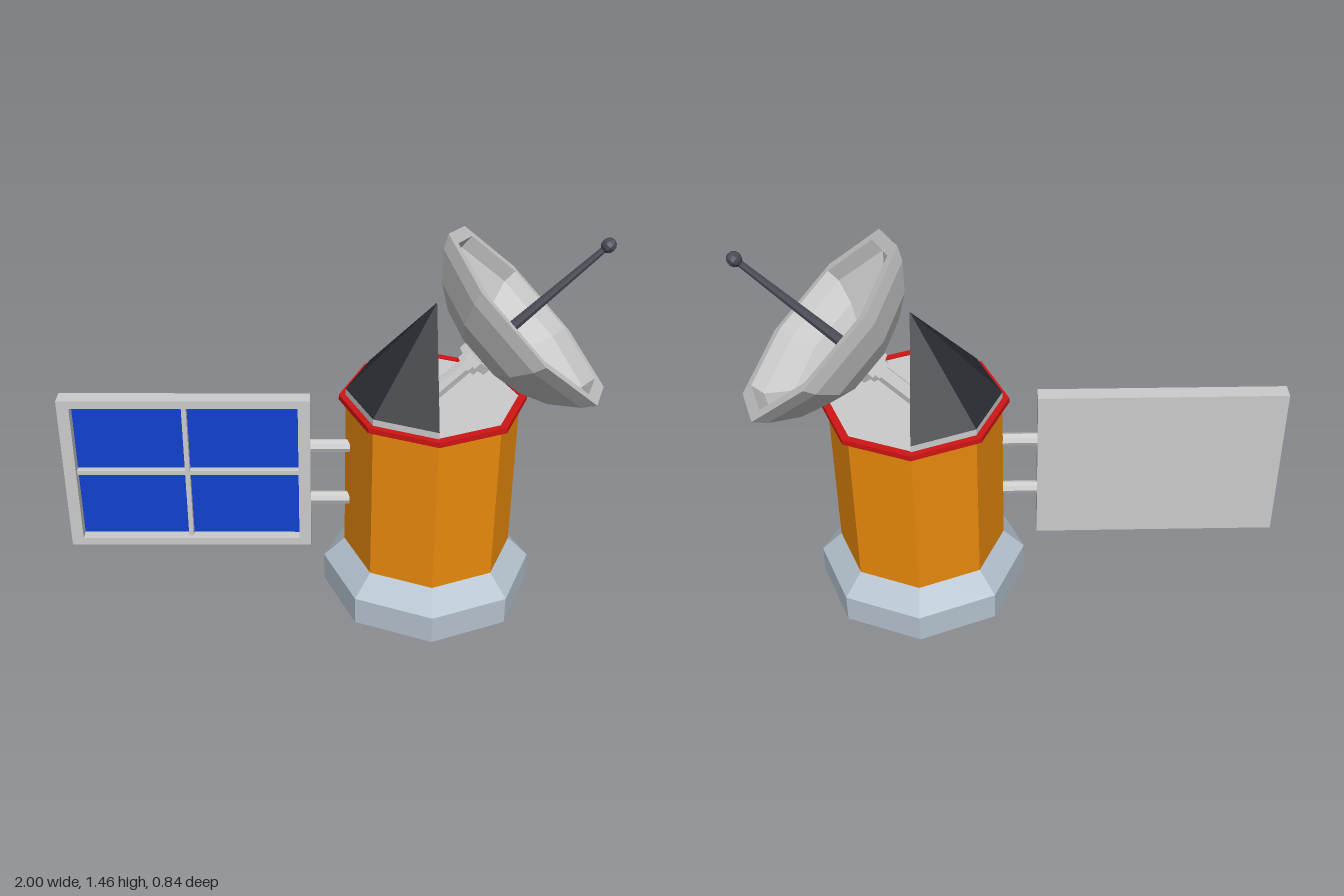
import * as THREE from 'three';

const mat = (color, side = THREE.FrontSide) =>
  new THREE.MeshStandardMaterial({ color, flatShading: true, side });
const GREY = mat(0xcccccc), STEEL = mat(0xb4c2ce), ORANGE = mat(0xe8890c), RED = mat(0xd01414),
  DARK = mat(0x2a2c32), BLUE = mat(0x1040d0), MAST = mat(0x4a4a56);

function add(parent, name, geometry, material, x = 0, y = 0, z = 0) {
  const mesh = new THREE.Mesh(geometry, material);
  mesh.name = name;
  mesh.position.set(x, y, z);
  parent.add(mesh);
  return mesh;
}

// Eight-sided turned part from [radius, height] pairs
const turned = (points, sides = 8) =>
  new THREE.LatheGeometry(points.map(([r, y]) => new THREE.Vector2(r, y)), sides);

function rectangle(target, x0, y0, x1, y1) {
  target.moveTo(x0, y0);
  target.lineTo(x1, y0);
  target.lineTo(x1, y1);
  target.lineTo(x0, y1);
  target.closePath();
  return target;
}

function createTower() {
  const tower = new THREE.Group();
  tower.name = 'tower';
  tower.position.x = 0.375;

  // Chamfered foot with a stepped recess underneath
  add(tower, 'base', turned([
    [0, 0.13], [0.15, 0.13], [0.15, 0.06], [0.23, 0.06], [0.23, 0.04],
    [0.3, 0.04], [0.3, 0], [0.4, 0], [0.4, 0.11], [0.32, 0.19], [0, 0.19],
  ]), STEEL);
  add(tower, 'body', turned([[0.32, 0.19], [0.32, 0.815]]), ORANGE);
  add(tower, 'rim', turned([
    [0.315, 0.81], [0.345, 0.81], [0.345, 0.83], [0.315, 0.83], [0.315, 0.81],
  ]), RED);
  add(tower, 'roofDeck', turned([[0.32, 0.82], [0.318, 0.826], [0, 0.826]]), GREY);

  // Half pyramid on the -x half of the deck
  const half = [4, 1, false, Math.PI, Math.PI];
  add(tower, 'roofPlinth', new THREE.CylinderGeometry(0.32, 0.32, 0.03, ...half), GREY, 0, 0.84);
  add(tower, 'halfRoof', new THREE.CylinderGeometry(0, 0.32, 0.345, ...half), DARK, 0, 1.0275);
  const wall = new THREE.Shape([
    [-0.32, 0.825], [0.32, 0.825], [0.32, 0.855], [0, 1.2], [-0.32, 0.855],
  ].map(([x, y]) => new THREE.Vector2(x, y)));
  add(tower, 'roofWall', new THREE.ShapeGeometry(wall), GREY).rotation.y = Math.PI / 2;
  return tower;
}

// Dish assembly is built along +y, then tipped towards +x
function createDish() {
  const dish = new THREE.Group();
  dish.name = 'dishAssembly';
  dish.position.set(0.375, 0.835, 0);
  dish.rotation.z = -Math.PI / 4;

  add(dish, 'strut', turned([
    [0, -0.03], [0.03, -0.03], [0.03, 0.165], [0.045, 0.165], [0.045, 0.195],
    [0.07, 0.195], [0.07, 0.225], [0.05, 0.225], [0.05, 0.25],
  ]), GREY);
  add(dish, 'reflector', turned([
    [0, 0.235], [0.09, 0.24], [0.209, 0.264], [0.304, 0.322], [0.39, 0.41], [0.42, 0.46],
    [0.37, 0.46], [0.365, 0.405], [0.28, 0.335], [0.17, 0.287], [0, 0.268],
  ]), GREY);
  add(dish, 'mast', turned([
    [0.04, 0.265], [0.04, 0.285], [0.03, 0.3], [0.022, 0.3], [0.012, 0.81],
  ]), MAST);
  add(dish, 'mastTip', new THREE.SphereGeometry(0.028, 8, 6), MAST, 0, 0.82);
  return dish;
}

function createSolarPanel() {
  const panel = new THREE.Group();
  panel.name = 'solarPanel';

  // Solid back plate, open frame and recessed cells
  const outline = rectangle(new THREE.Shape(), -1, 0.195, -0.075, 0.83);
  outline.holes.push(rectangle(new THREE.Path(), -0.955, 0.225, -0.12, 0.8));
  add(panel, 'frame', new THREE.ExtrudeGeometry(outline, { depth: 0.063, bevelEnabled: false }),
    GREY, 0, 0, -0.01);
  add(panel, 'backPlate', new THREE.BoxGeometry(0.835, 0.575, 0.01), GREY, -0.5375, 0.5125, -0.005);
  add(panel, 'cells', new THREE.BoxGeometry(0.835, 0.575, 0.01), BLUE, -0.5375, 0.5125, 0.005);
  add(panel, 'uprightBar', new THREE.BoxGeometry(0.018, 0.575, 0.03), GREY, -0.539, 0.5125, 0.022);
  add(panel, 'crossBar', new THREE.BoxGeometry(0.835, 0.018, 0.026), GREY, -0.5375, 0.511, 0.02);

  // Pipes joining the panel to the tower
  for (const y of [0.395, 0.625]) {
    const pipe = add(panel, 'pipe', new THREE.CylinderGeometry(0.025, 0.025, 0.15, 8), GREY, -0.002, y, 0.021);
    pipe.rotation.z = Math.PI / 2;
  }
  return panel;
}

export function createModel() {
  const model = new THREE.Group();
  model.name = 'satelliteStation';
  model.add(createTower(), createDish(), createSolarPanel());
  return model;
}
